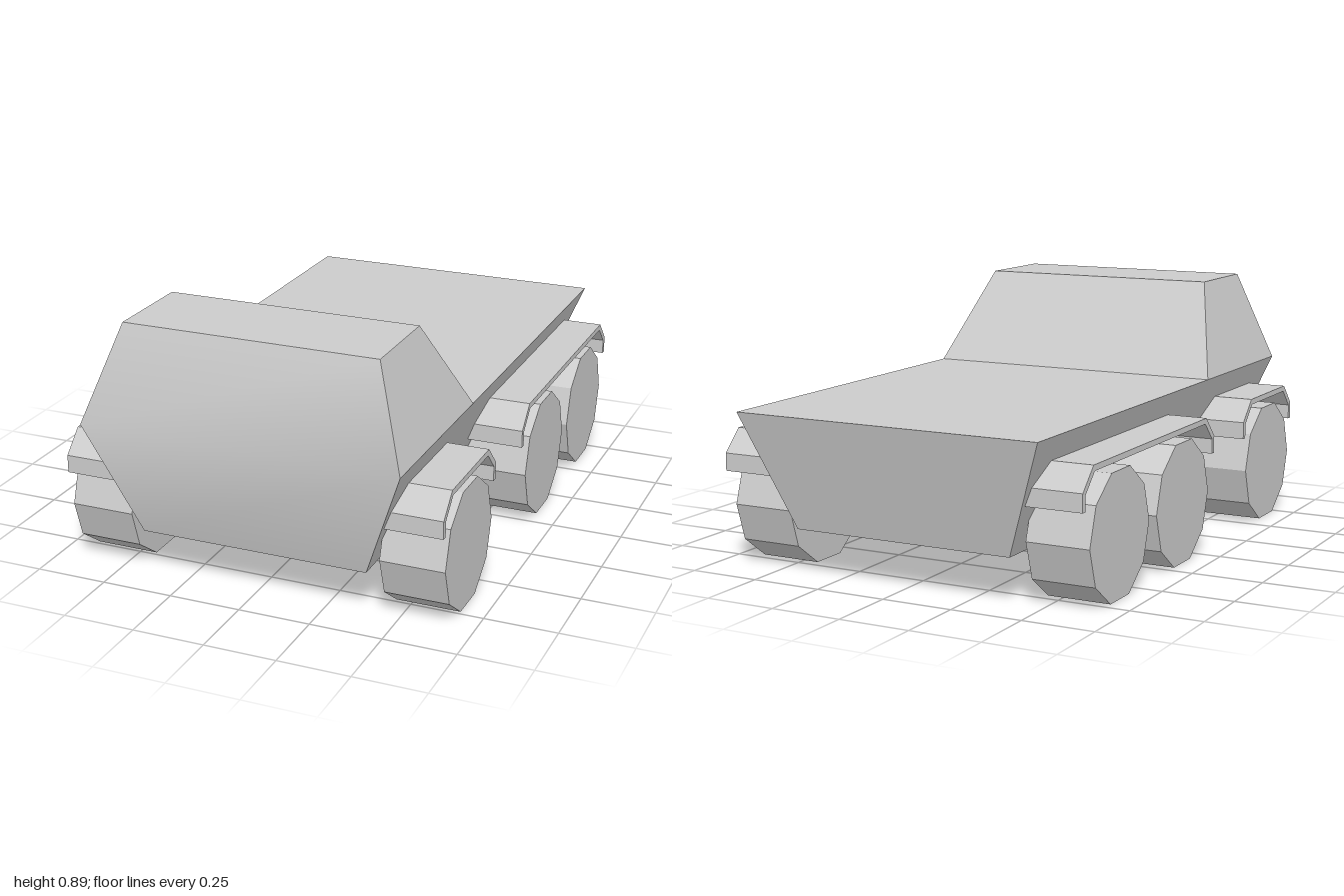
import * as THREE from 'three';
import { toCreasedNormals } from 'three/addons/utils/BufferGeometryUtils.js';

const INNER = 0.445, OUTER = 0.667; // running gear extent in x
const material = new THREE.MeshStandardMaterial({ color: 0xcccccc });
const flat = new THREE.MeshStandardMaterial({ color: 0xcccccc, flatShading: true });

function addMesh(parent, name, geometry, mat) {
  const mesh = new THREE.Mesh(geometry, mat);
  mesh.name = name;
  parent.add(mesh);
}

// Hull and cab as one skin; the crease angle keeps only the nose panels smooth
function bodyGeometry() {
  const rect = (x, y, front, back) =>
    [[-x, y, front], [x, y, front], [x, y, back], [-x, y, back]];
  const bottom = rect(0.4, 0.16, 0.89, -0.89);
  const waist = rect(0.556, 0.56, 1, -1);
  const cabBase = rect(0.556, 0.56, 1, 0.335);
  const roof = rect(0.445, 0.89, 0.89, 0.555);
  const pos = [];
  const quad = (a, b, c, d) => pos.push(...a, ...b, ...c, ...a, ...c, ...d);
  for (const [low, high] of [[bottom, waist], [cabBase, roof]]) {
    for (let i = 0; i < 4; i++) {
      const j = (i + 1) % 4;
      quad(low[i], low[j], high[j], high[i]);
    }
  }
  quad(...roof);
  quad(...[...bottom].reverse());
  quad(cabBase[3], cabBase[2], waist[2], waist[3]); // rear deck
  const geo = new THREE.BufferGeometry();
  geo.setAttribute('position', new THREE.Float32BufferAttribute(pos, 3));
  return toCreasedNormals(geo, THREE.MathUtils.degToRad(37));
}

// Ten-sided wheel standing on a flat facet
function wheelGeometry(z) {
  const radius = 0.2224;
  return new THREE.CylinderGeometry(radius, radius, OUTER - INNER, 10)
    .rotateZ(Math.PI / 2)
    .translate((INNER + OUTER) / 2, radius * Math.cos(Math.PI / 10), z);
}

// Thin mudguard strip with chamfered corners, drawn in (z, y)
function fenderGeometry(front, back) {
  const t = 0.02, c = 0.075, low = 0.337, top = 0.473, k = t * 0.414;
  const shape = new THREE.Shape([
    [front, low], [front, top - c], [front - c, top],
    [back + c, top], [back, top - c], [back, low],
    [back + t, low], [back + t, top - c - k], [back + c + k, top - t],
    [front - c - k, top - t], [front - t, top - c - k], [front - t, low],
  ].map(([z, y]) => new THREE.Vector2(z, y)));
  return new THREE.ExtrudeGeometry(shape, { depth: OUTER - INNER, bevelEnabled: false })
    .rotateY(-Math.PI / 2)
    .translate(OUTER, 0, 0);
}

export function createModel() {
  const model = new THREE.Group();
  model.name = 'armouredTruck';
  addMesh(model, 'body', bodyGeometry(), material);

  // Running gear, repeated on both sides
  for (const [side, turn] of [['left', 0], ['right', 1]]) {
    const group = new THREE.Group();
    group.name = side + 'RunningGear';
    const shift = turn ? -(INNER + OUTER) : 0;
    const place = (name, geo) => addMesh(group, side + name, geo.translate(shift, 0, 0), flat);
    place('FrontWheel', wheelGeometry(0.667));
    place('MiddleWheel', wheelGeometry(-0.142));
    place('RearWheel', wheelGeometry(-0.645));
    place('FrontFender', fenderGeometry(0.913, 0.414));
    place('RearFender', fenderGeometry(0.131, -0.918));
    model.add(group);
  }
  return model;
}
